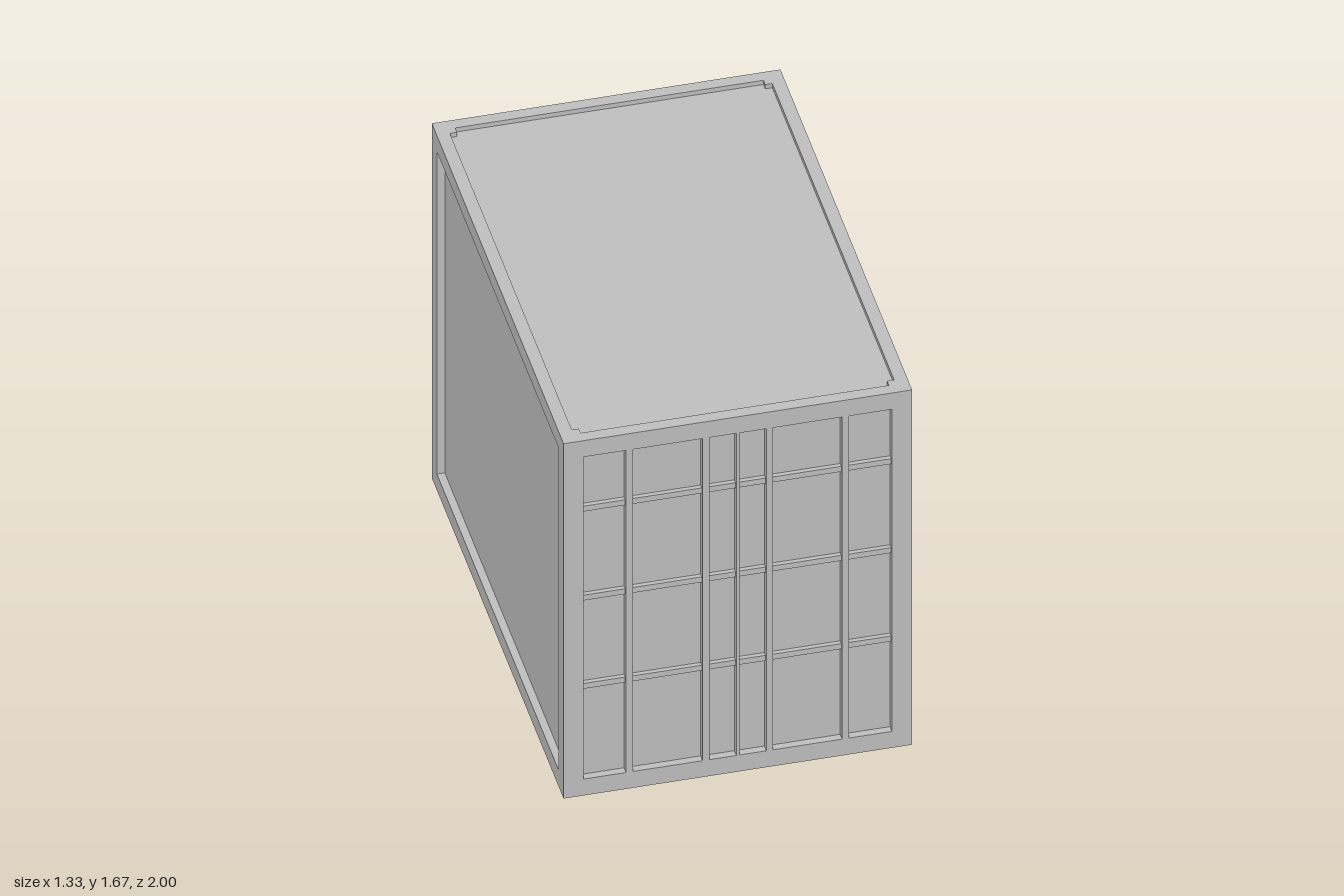
import * as THREE from 'three';

const W = 1.334, H = 1.667, L = 2;   // overall size
const D = 0.03, T = 0.02;            // wall recess, roof and floor recess
const BORDER = 0.077;                // width of the wall frames

// Flat frame in XY, extruded along +z, with one opening
function frameGeometry(w, h, opening, depth) {
  const shape = new THREE.Shape([
    [-w / 2, -h / 2], [w / 2, -h / 2], [w / 2, h / 2], [-w / 2, h / 2],
  ].map(([x, y]) => new THREE.Vector2(x, y)));
  shape.holes.push(new THREE.Path(opening.map(([x, y]) => new THREE.Vector2(x, y))));
  return new THREE.ExtrudeGeometry(shape, { depth, bevelEnabled: false });
}

// Rectangle of half sizes a, b whose corners are stepped in by n
function openingPoints(a, b, n = 0) {
  if (!n) return [[-a, -b], [-a, b], [a, b], [a, -b]];
  return [
    [-a, -b + n], [-a, b - n], [-a + n, b - n], [-a + n, b],
    [a - n, b], [a - n, b - n], [a, b - n], [a, -b + n],
    [a - n, -b + n], [a - n, -b], [-a + n, -b], [-a + n, -b + n],
  ];
}

export function createModel() {
  const group = new THREE.Group();
  group.name = 'shippingContainer';
  const grey = new THREE.MeshStandardMaterial({ color: 0xc0c0c0 });
  grey.name = 'light grey';

  const add = (name, geometry, x, y, z) => {
    const mesh = new THREE.Mesh(geometry, grey);
    mesh.name = name;
    mesh.position.set(x, y, z);
    group.add(mesh);
    return mesh;
  };

  // Inner body whose faces are the recessed panels
  add('bodyPanels', new THREE.BoxGeometry(W - 2 * D, H - 2 * T, L - 2 * D), 0, H / 2, 0);

  // Front and back frames
  const endFrame = frameGeometry(W, H - 2 * T, openingPoints(W / 2 - BORDER, H / 2 - BORDER), D);
  add('frontFrame', endFrame, 0, H / 2, L / 2 - D);
  add('backFrame', endFrame, 0, H / 2, -L / 2 + D).rotation.y = Math.PI;

  // Side frames
  const sideFrame = frameGeometry(L - 2 * D, H - 2 * T, openingPoints(L / 2 - BORDER, H / 2 - BORDER), D);
  for (const s of [1, -1]) {
    add(s > 0 ? 'leftFrame' : 'rightFrame', sideFrame, s * (W / 2 - D), H / 2, 0).rotation.y = s * Math.PI / 2;
  }

  // Roof and floor frames with stepped corners
  const roofFrame = frameGeometry(W, L, openingPoints(0.617, 0.952, 0.027), T);
  add('roofFrame', roofFrame, 0, H - T, 0).rotation.x = -Math.PI / 2;
  add('floorFrame', roofFrame, 0, T, 0).rotation.x = Math.PI / 2;

  // Vertical locking bars and the centre door seam
  const innerH = H - 2 * BORDER;
  const panelZ = L / 2 - D;
  const bars = [[-0.415, 0.026], [-0.122, 0.026], [0, 0.012], [0.122, 0.026], [0.412, 0.026]];
  for (const [x, w] of bars) {
    add(w < 0.02 ? 'doorSeam' : 'lockingBar', new THREE.BoxGeometry(w, innerH, D), x, H / 2, panelZ + D / 2);
  }

  // Horizontal door ribs, lower than the bars
  const ribD = 0.018;
  for (const y of [0.504, 0.919, 1.337]) {
    add('doorRib', new THREE.BoxGeometry(W - 2 * BORDER, 0.025, ribD), 0, y, panelZ + ribD / 2);
  }

  return group;
}
